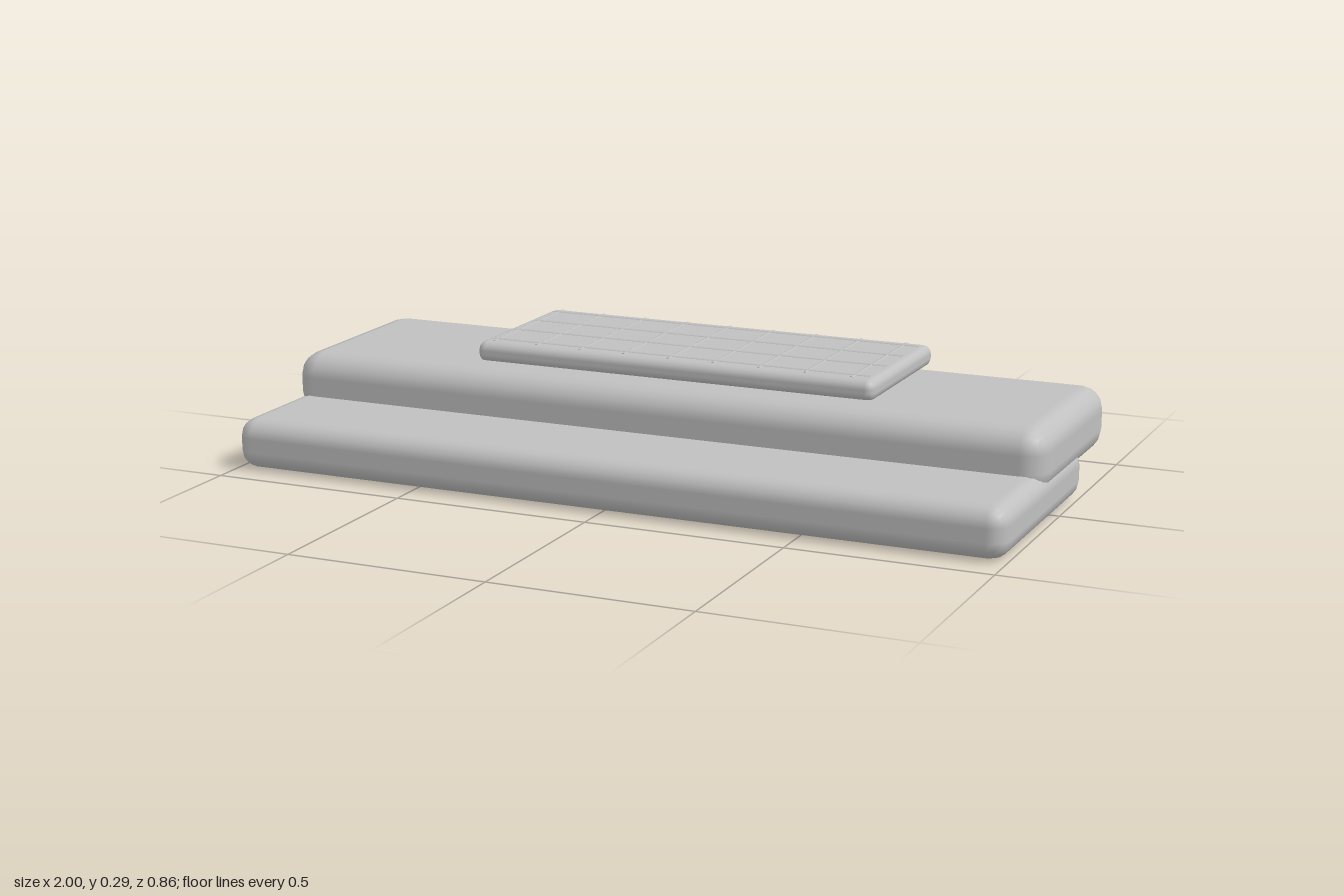
import * as THREE from 'three';
import { RoundedBoxGeometry } from 'three/addons/geometries/RoundedBoxGeometry.js';

export function createModel() {
  const model = new THREE.Group();
  const grey = new THREE.MeshStandardMaterial({ color: 0xc0c0c0 });
  grey.name = 'light grey';

  // Rounded slab given by its half width and its y and z extents
  function slab(name, halfX, y0, y1, z0, z1, radius) {
    const geo = new RoundedBoxGeometry(halfX * 2, y1 - y0, z1 - z0, 2, radius);
    const mesh = new THREE.Mesh(geo, grey);
    mesh.name = name;
    mesh.position.set(0, (y0 + y1) / 2, (z0 + z1) / 2);
    model.add(mesh);
  }

  // Two stepped slabs with a thin panel on top
  slab('lowerStep', 1, 0, 0.127, -0.2, 0.43, 0.046);
  slab('upperStep', 1, 0.07, 0.235, -0.4, 0.145, 0.06);
  slab('topPanel', 0.535, 0.228, 0.283, -0.428, 0.018, 0.023);

  // Wire grid half sunk into the panel
  const grid = new THREE.Group();
  grid.name = 'wireGrid';
  model.add(grid);
  function rod(name, length, radius, x, y, z, axis) {
    const geo = new THREE.CylinderGeometry(radius, radius, length, 8);
    if (axis === 'x') geo.rotateZ(Math.PI / 2);
    else geo.rotateX(Math.PI / 2);
    const mesh = new THREE.Mesh(geo, grey);
    mesh.name = name;
    mesh.position.set(x, y, z);
    grid.add(mesh);
  }
  for (let i = 0; i < 4; i++) {
    rod('longWire', 1.02, 0.006, -0.002, 0.28, -0.384 + i * 0.117, 'x');
  }
  for (let i = 0; i < 9; i++) {
    rod('crossWire', 0.4, 0.006, -0.498 + i * 0.121, 0.279, -0.208, 'z');
  }

  return model;
}
